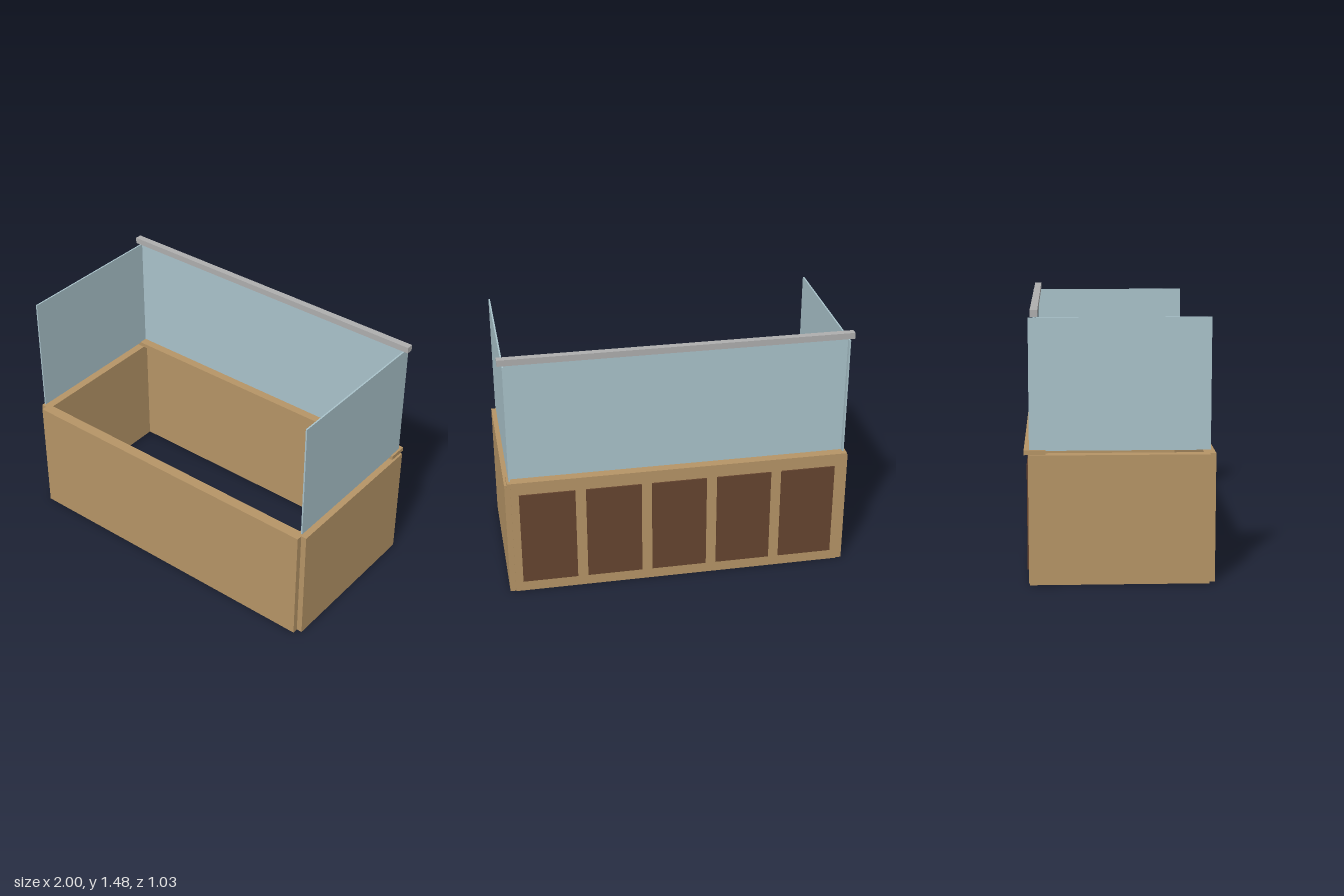
import * as THREE from 'three';

export function createModel() {
  const model = new THREE.Group();
  model.name = 'glazedCounter';

  const material = (name, color) => {
    const m = new THREE.MeshStandardMaterial({ color });
    m.name = name;
    return m;
  };
  const wood = material('oak wood', 0xb59466);
  const darkWood = material('dark brown panel', 0x65442f);
  const glass = material('pale blue glass', 0xa9c2ca);
  const metal = material('grey metal', 0xaeaeae);

  // Box given by its minimum and maximum extents on each axis
  const addBox = (name, mat, [x0, x1], [y0, y1], [z0, z1]) => {
    const mesh = new THREE.Mesh(new THREE.BoxGeometry(x1 - x0, y1 - y0, z1 - z0), mat);
    mesh.position.set((x0 + x1) / 2, (y0 + y1) / 2, (z0 + z1) / 2);
    mesh.name = name;
    model.add(mesh);
  };

  const wallY = [0, 0.71];
  const glassY = [0.73, 1.44];

  // Front and back walls of the open enclosure
  addBox('frontWall', wood, [-0.967, 0.967], wallY, [0.45, 0.513]);
  addBox('backWall', wood, [-0.967, 0.967], wallY, [-0.493, -0.43]);

  // Side walls with a glass pane floating just above each
  for (const [side, s] of [['left', 1], ['right', -1]]) {
    const span = (a, b) => (s > 0 ? [a, b] : [-b, -a]);
    addBox(side + 'Wall', wood, span(0.937, 1), wallY, [-0.487, 0.48]);
    addBox(side + 'Glass', glass, span(0.965, 0.974), glassY, [-0.487, 0.482]);
  }

  // Ledge, back pane and top rail
  addBox('ledge', wood, [-0.987, 0.987], [0.71, 0.735], [-0.515, -0.4]);
  addBox('backGlass', glass, [-0.967, 0.967], glassY, [-0.46, -0.451]);
  addBox('topRail', metal, [-1, 1], [1.444, 1.48], [-0.476, -0.436]);

  // Bench inside, along the front wall
  addBox('bench', wood, [-0.87, 0.87], [0.03, 0.31], [0.14, 0.43]);

  // Five dark panels on the back
  for (let i = -2; i <= 2; i++) {
    const x = i * 0.381;
    addBox('backPanel' + (i + 3), darkWood, [x - 0.16, x + 0.16], [0.066, 0.645], [-0.501, -0.493]);
  }

  return model;
}
